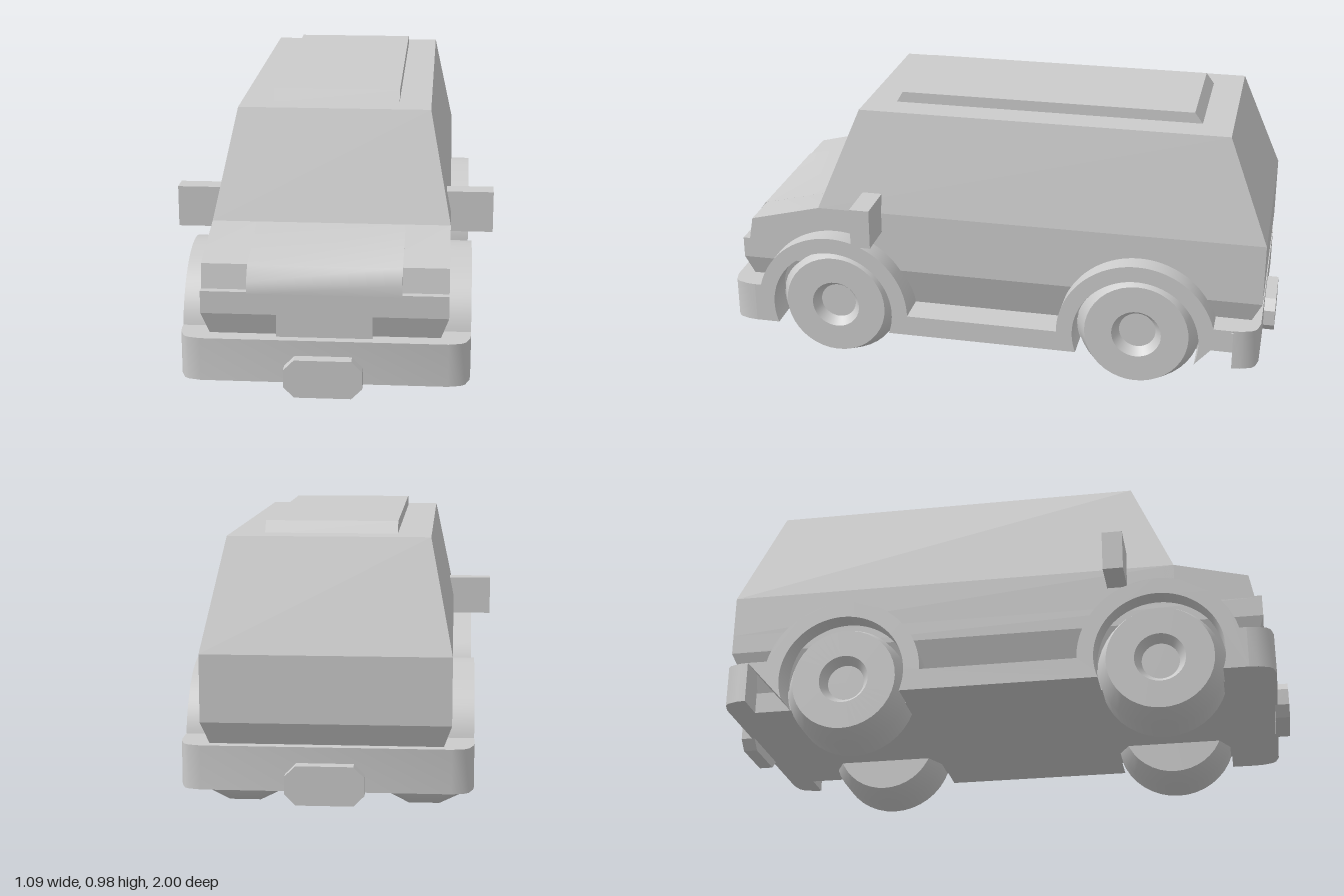
import * as THREE from 'three';
import { toCreasedNormals } from 'three/addons/utils/BufferGeometryUtils.js';

const material = new THREE.MeshStandardMaterial({ color: 0xcccccc });

function add(parent, name, geometry) {
  const mesh = new THREE.Mesh(geometry, material);
  mesh.name = name;
  parent.add(mesh);
  return mesh;
}

// Stack of rectangles, each [y, halfWidth, zBack, zFront], closed at both ends
function loft(rings) {
  const pos = [];
  const corners = rings.map(([y, w, z0, z1]) => [[w, y, z1], [w, y, z0], [-w, y, z0], [-w, y, z1]]);
  const quad = (a, b, c, d) => [a, b, c, a, c, d].forEach((p) => pos.push(...p));
  for (let r = 0; r + 1 < corners.length; r++) {
    for (let i = 0; i < 4; i++) {
      const j = (i + 1) % 4;
      quad(corners[r][i], corners[r][j], corners[r + 1][j], corners[r + 1][i]);
    }
  }
  quad(...corners[corners.length - 1]);
  quad(...[...corners[0]].reverse());
  const geometry = new THREE.BufferGeometry();
  geometry.setAttribute('position', new THREE.Float32BufferAttribute(pos, 3));
  geometry.computeVertexNormals();
  return geometry;
}

const polygon = (points) => new THREE.Shape(points.map(([x, y]) => new THREE.Vector2(x, y)));
const extrude = (shape, depth) =>
  new THREE.ExtrudeGeometry(shape, { depth, bevelEnabled: false, curveSegments: 32 });

// Side profile (z, y) extruded across x0..x1
const extrudeAcross = (shape, x0, x1) =>
  toCreasedNormals(extrude(shape, x1 - x0).rotateY(-Math.PI / 2).translate(x1, 0, 0), 0.7);

// Plan outline (x, z) extruded over y0..y1
const extrudeUp = (shape, y0, y1) =>
  toCreasedNormals(extrude(shape, y1 - y0).rotateX(Math.PI / 2).translate(0, y1, 0), 0.7);

function box(x0, x1, y0, y1, z0, z1) {
  return new THREE.BoxGeometry(x1 - x0, y1 - y0, z1 - z0)
    .translate((x0 + x1) / 2, (y0 + y1) / 2, (z0 + z1) / 2);
}

const FRONT_AXLE = 0.575, REAR_AXLE = -0.53, AXLE_Y = 0.22;

// Sill, wheel arches and bumper ends of one side, as a side profile
function skirtShape() {
  const base = 0.145, sill = 0.22, top = 0.29, end = 0.87;
  const outer = 0.28, inner = 0.223;
  const rise = Math.asin((top - AXLE_Y) / outer);
  const drop = Math.asin((AXLE_Y - base) / inner);
  const s = new THREE.Shape();
  s.moveTo(-end, base);
  s.absarc(REAR_AXLE, AXLE_Y, inner, Math.PI + drop, -drop, true);
  s.absarc(FRONT_AXLE, AXLE_Y, inner, Math.PI + drop, -drop, true);
  s.lineTo(end, base);
  s.lineTo(end, top);
  s.absarc(FRONT_AXLE, AXLE_Y, outer, rise, Math.PI, false);
  s.lineTo(REAR_AXLE + outer, sill);
  s.absarc(REAR_AXLE, AXLE_Y, outer, 0, Math.PI - rise, false);
  s.lineTo(-end, top);
  s.closePath();
  return s;
}

// Tyre with bevelled shoulders and a dished hub
function wheelGeometry() {
  const profile = [[0, 0.183], [0.185, 0.183], [0.22, 0.255], [0.22, 0.36], [0.185, 0.435],
    [0.088, 0.435], [0.065, 0.4], [0, 0.4]].map(([r, x]) => new THREE.Vector2(r, x));
  const lathe = new THREE.LatheGeometry(profile, 40).rotateZ(-Math.PI / 2);
  return toCreasedNormals(lathe, 0.7);
}

export function createModel() {
  const car = new THREE.Group();
  car.name = 'van';

  // Body: lower tub, cabin and raised roof panel
  add(car, 'lowerBody', loft([
    [0.2, 0.345, -0.885, 0.875], [0.365, 0.4, -0.96, 0.93], [0.435, 0.4, -0.96, 0.93],
  ]));
  add(car, 'cabin', loft([
    [0.435, 0.4, -0.96, 0.635], [0.585, 0.4, -0.96, 0.635], [0.945, 0.327, -0.815, 0.49],
  ]));
  add(car, 'roofPanel', loft([[0.94, 0.217, -0.712, 0.385], [0.983, 0.217, -0.68, 0.36]]));

  // Hood with a bevelled nose, notched at both corners for the headlights
  const hood = [[0.6, 0.43], [0.93, 0.43], [0.93, 0.473], [0.895, 0.52], [0.635, 0.585], [0.6, 0.585]];
  const notched = [[0.6, 0.43], [0.93, 0.43], [0.93, 0.44], [0.905, 0.44], [0.89, 0.521],
    [0.635, 0.585], [0.6, 0.585]];
  add(car, 'hood', extrudeAcross(polygon(hood), -0.25, 0.25));
  add(car, 'hoodLeftCorner', extrudeAcross(polygon(notched), 0.25, 0.4));
  add(car, 'hoodRightCorner', extrudeAcross(polygon(notched), -0.4, -0.25));
  add(car, 'grille', box(-0.155, 0.155, 0.28, 0.366, 0.8, 0.93));

  // Chassis floor and side skirts
  add(car, 'floor', box(-0.36, 0.36, 0.145, 0.22, -0.87, 0.87));
  add(car, 'leftSkirt', extrudeAcross(skirtShape(), 0.34, 0.472));
  add(car, 'rightSkirt', extrudeAcross(skirtShape(), -0.472, -0.34));

  // Bumpers with rounded corners and an eight-sided plate
  const bumper = polygon([[-0.472, 0.87], [0.472, 0.87], [0.469, 0.9], [0.455, 0.938],
    [0.44, 0.95], [0.4, 0.96], [-0.4, 0.96], [-0.44, 0.95], [-0.455, 0.938], [-0.469, 0.9]]);
  const plate = polygon([[-0.127, 0.145], [-0.092, 0.11], [0.092, 0.11], [0.127, 0.145],
    [0.127, 0.203], [0.092, 0.238], [-0.092, 0.238], [-0.127, 0.203]]);
  for (const [end, angle] of [['front', 0], ['rear', Math.PI]]) {
    add(car, end + 'Bumper', extrudeUp(bumper, 0.145, 0.29)).rotation.y = angle;
    add(car, end + 'Plate', extrude(plate, 0.05).translate(0, 0, 0.95)).rotation.y = angle;
  }

  // Wheels and mirrors on both sides
  const wheel = wheelGeometry();
  for (const [side, sign] of [['Left', 1], ['Right', -1]]) {
    for (const [end, z] of [['front', FRONT_AXLE], ['rear', REAR_AXLE]]) {
      const mesh = add(car, end + side + 'Wheel', wheel);
      mesh.position.set(0, AXLE_Y, z);
      mesh.rotation.y = sign > 0 ? 0 : Math.PI;
    }
    add(car, 'mirror' + side, box(0.385, 0.545, 0.513, 0.655, -0.035, 0.035))
      .position.set(sign > 0 ? 0 : -0.93, 0, 0.435);
  }
  return car;
}
